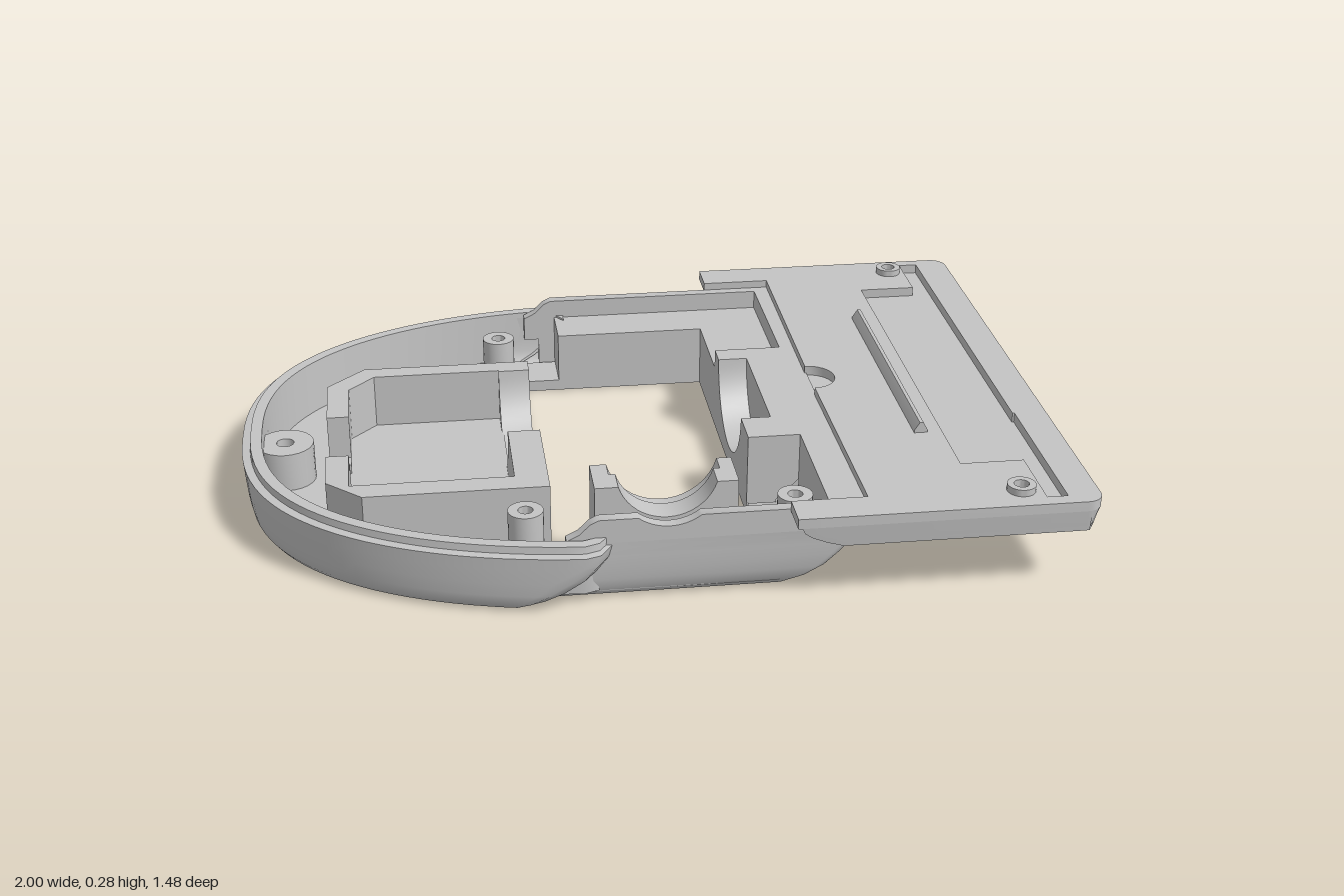
import * as THREE from 'three';
import { toCreasedNormals } from 'three/addons/utils/BufferGeometryUtils.js';

const grey = new THREE.MeshStandardMaterial({ color: 0xc4c4c4, side: THREE.DoubleSide });
grey.name = 'grey plastic';

export function createModel() {
  const model = new THREE.Group();

  const add = (name, geo) => {
    const mesh = new THREE.Mesh(toCreasedNormals(geo, 0.7), grey);
    mesh.name = name;
    model.add(mesh);
  };
  const arc = (cx, cy, r, a0, a1, n = 20) => Array.from({ length: n + 1 }, (_, i) => {
    const a = a0 + (a1 - a0) * i / n;
    return [cx + r * Math.cos(a), cy + r * Math.sin(a)];
  });
  const circle = (x, z, r) => arc(x, z, r, 0, Math.PI * 2, 24).slice(0, -1);
  const rect = (x0, x1, z0, z1) => [[x0, z0], [x1, z0], [x1, z1], [x0, z1]];
  const vectors = (pts, sx, sy) => pts.map(([a, b]) => new THREE.Vector2(a * sx, b * sy));

  // plan outline (x, z) raised from y0 to y1
  const planGeo = (pts, y0, y1, holes = [], steps = 1) => {
    const shape = new THREE.Shape(vectors(pts, 1, -1));
    holes.forEach(h => shape.holes.push(new THREE.Path(vectors(h, 1, -1))));
    return new THREE.ExtrudeGeometry(shape, { depth: y1 - y0, bevelEnabled: false, steps })
      .rotateX(-Math.PI / 2).translate(0, y0, 0);
  };
  const plan = (name, ...args) => add(name, planGeo(...args));
  // side profile (x, y) swept from z0 to z1
  const profile = (name, pts, z0, z1) => add(name, new THREE.ExtrudeGeometry(
    new THREE.Shape(vectors(pts, 1, 1)), { depth: z1 - z0, bevelEnabled: false }).translate(0, 0, z0));
  // end profile (z, y) swept from x0 to x1
  const endProfile = (name, pts, x0, x1) => add(name, new THREE.ExtrudeGeometry(
    new THREE.Shape(vectors(pts, -1, 1)), { depth: x1 - x0, bevelEnabled: false })
    .rotateY(Math.PI / 2).translate(x0, 0, 0));
  // skin through rows of equal length
  const skin = (name, rows) => {
    const n = rows[0].length, index = [];
    for (let r = 0; r < rows.length - 1; r++) for (let i = 0; i < n - 1; i++) {
      const a = r * n + i, b = a + 1, c = a + n, d = c + 1;
      index.push(a, b, c, b, d, c);
    }
    const geo = new THREE.BufferGeometry();
    geo.setAttribute('position', new THREE.Float32BufferAttribute(rows.flat(2), 3));
    geo.setIndex(index);
    geo.computeVertexNormals();
    add(name, geo);
  };

  // rounded bowl: inset d, shoulders sweep back towards the bottom (height y)
  const bowlOutline = (d, y) => {
    const s = -0.17 * Math.max(0, 1 - y / 0.15) ** 2;
    const t = Math.acos((0.1 - s) / (0.9 - d)), t0 = 1.2;
    const point = ([c, q]) => [-0.1 - (0.9 - d) * c, (0.71 - d) * Math.sign(q) * Math.abs(q) ** 0.8];
    const curve = [...arc(0, 0, 1, t, t0, 5), ...arc(0, 0, 1, t0, -t0, 48).slice(1), ...arc(0, 0, 1, -t0, -t, 5).slice(1)]
      .map(point);
    const z = curve[0][1] - 0.012;
    return [[-0.13 + s, 0.643 - d], [-0.165 + s, z], ...curve, [-0.165 + s, -z], [-0.13 + s, -0.643 + d]];
  };
  const at = (pts, y) => pts.map(([x, z]) => [x, y, z]);
  skin('bowlWall', [[0.038, 0], [0.024, 0.006], [0.014, 0.02], [0.009, 0.045], [0.005, 0.08], [0.002, 0.12], [0, 0.15]]
    .map(([d, y]) => at(bowlOutline(d, y), y)));
  skin('bowlRim', [[0, 0.15], [0.02, 0.152], [0.022, 0.17], [0.05, 0.17], [0.055, 0.025]]
    .map(([d, y]) => at(bowlOutline(d, 0.15), y)));

  // middle body with a curved end under the plate
  const bodyOutline = (d, xe) => {
    const z = 0.65 - d, r = 0.03;
    return [[-0.3, -z], ...arc(xe - r, -z + r, r, -Math.PI / 2, 0, 6),
      ...arc(xe - r, z - r, r, 0, Math.PI / 2, 6), [-0.3, z]];
  };
  skin('bodyWall', [[0.037, 0.25, 0], [0.024, 0.29, 0.008], [0.012, 0.335, 0.028], [0.005, 0.375, 0.055],
    [0.002, 0.41, 0.09], [0, 0.436, 0.12], [0, 0.46, 0.143], [0, 0.49, 0.156]]
    .map(([d, xe, y]) => at(bodyOutline(d, xe), y)));

  plan('floor', [...bowlOutline(0.038, 0), ...bodyOutline(0.037, 0.25)], 0, 0.03,
    [rect(-0.26, 0.245, -0.49, 0.487), rect(-0.44, -0.305, -0.335, -0.24), circle(-0.895, 0, 0.03)]);

  // blocks that stay inside the curved end
  const endCurve = [[0.25, 0.012], [0.29, 0.03], [0.355, 0.07], [0.395, 0.11], [0.42, 0.15], [0.46, 0.16]];
  const block = (name, z0, z1, x0, top, edge = []) => profile(name, [[x0, Math.max(0.012, (x0 - 0.26) * 0.6)],
    ...endCurve.filter(([x]) => x > x0), [0.46, top], ...edge, [x0, top]], z0, z1);
  block('backShelf', -0.625, -0.49, -0.155, 0.165);
  block('backCornerShelf', -0.49, -0.235, 0.245, 0.165);
  block('middleBlock', -0.235, 0.28, 0.32, 0.215);
  block('frontCornerBlock', 0.28, 0.62, 0.375, 0.215);
  plan('shelfEdge', rect(0.42, 0.46, -0.64, -0.235), 0.15, 0.215);

  // raised side walls, the front one dipped for the shaft
  const dip = (cy, r, top) => {
    const a = Math.asin((cy - top) / r);
    return arc(0, cy, r, -a, -Math.PI + a);
  };
  const shoulder = [[-0.165, 0.215], [-0.185, 0.205], [-0.21, 0.18], [-0.24, 0.165]];
  const sideWall = (name, inner, outer, edge) => {
    // upper part reaches the outside, lower part stays behind the rounded skin
    const mid = (inner + outer) / 2, [a, b] = [inner, outer].sort((p, q) => p - q);
    profile(name, [[-0.24, 0.1], [0.39, 0.1], [0.42, 0.145], [0.46, 0.157], [0.46, 0.215], ...edge, ...shoulder], a, b);
    const [c, d] = [inner, mid].sort((p, q) => p - q);
    profile(name, [[-0.2, 0.02], [0.26, 0.02], [0.34, 0.07], [0.37, 0.11], [-0.2, 0.11]], c, d);
  };
  sideWall('backWall', -0.62, -0.648, []);
  sideWall('frontWall', 0.62, 0.648, dip(0.31, 0.12, 0.215));

  // front shaft saddle in two steps
  [[0.49, 0.54, 0.135], [0.54, 0.605, 0.12]].forEach(([z0, z1, r]) => profile('frontSaddle',
    [[-0.17, 0.02], [0.165, 0.02], [0.165, 0.275], ...dip(0.31, r, 0.275), [-0.17, 0.275]], z0, z1));

  // round cradles on both sides of the opening
  const cradle = (z0, z1, x0, x1) => endProfile('cradle',
    [[z0, 0.028], [z1, 0.028], [z1, 0.215], ...dip(0.225, 0.175, 0.215), [z0, 0.215]], x0, x1);
  cradle(-0.23, 0.47, -0.34, -0.26);
  cradle(-0.235, 0.28, 0.245, 0.32);

  // compartment inside the bowl
  plan('compartmentBackWall', [[-0.335, -0.23], [-0.69, -0.23], [-0.785, -0.135], [-0.785, 0.045], [-0.73, 0.045],
    [-0.73, -0.11], [-0.665, -0.18], [-0.335, -0.18]], 0.02, 0.215);
  plan('compartmentFrontWall', [[-0.335, 0.47], [-0.7, 0.47], [-0.785, 0.39], [-0.785, 0.255], [-0.73, 0.255],
    [-0.73, 0.41], [-0.335, 0.41]], 0.02, 0.215);
  plan('compartmentFloor', [[-0.335, -0.2], [-0.68, -0.2], [-0.75, -0.12], [-0.75, 0.43], [-0.335, 0.43]], 0.02, 0.075);
  plan('compartmentTab', rect(-0.785, -0.73, 0.215, 0.256), 0.02, 0.17);
  plan('compartmentTab', rect(-0.785, -0.73, 0.044, 0.085), 0.02, 0.1);

  // hollow screw posts
  const post = (x, z, r, hole, y0, y1) => plan('screwPost', circle(x, z, r), y0, y1, [circle(x, z, hole)]);
  post(-0.325, -0.42, 0.042, 0.018, 0.02, 0.2);
  post(-0.325, 0.55, 0.042, 0.018, 0.02, 0.2);
  post(0.31, 0.55, 0.042, 0.018, 0.04, 0.2);
  post(-0.895, 0, 0.072, 0.022, 0.02, 0.13);

  // end plate: lower slab with tapered sides and a shallow underside panel, upper slab with a pocket
  const wings = [[0.28, -0.74], ...arc(0.96, -0.7, 0.04, -Math.PI / 2, 0, 6),
    ...arc(0.96, 0.695, 0.04, 0, Math.PI / 2, 6), [0.28, 0.735], [0.28, 0.647], [0.46, 0.647]];
  const wingEnd = [[0.46, -0.647], [0.28, -0.647]];
  const screwHoles = r => [circle(0.82, -0.665, r), circle(0.82, 0.66, r)];
  const pocket = [[0.715, -0.545], [0.865, -0.545], [0.865, -0.71], [0.915, -0.71], [0.915, 0.27],
    [0.92, 0.27], [0.92, 0.7], [0.87, 0.7], [0.87, 0.515], [0.715, 0.515]];
  const lowerSlab = (name, y0, y1, holes, steps) => {
    const geo = planGeo([...wings, ...wingEnd], y0, y1, holes, steps);
    const p = geo.attributes.position;
    for (let i = 0; i < p.count; i++) {
      const x = p.getX(i), z = p.getZ(i), t = (0.21 - p.getY(i)) / 0.055;
      if (x < 0.3) p.setX(i, x + 0.01 + 0.1 * t * t);
      if (x > 0.975) p.setX(i, x - 0.015 * t);
      if (Math.abs(z) > 0.71) p.setZ(i, z * (1 - 0.01 * t));
    }
    add(name, geo);
  };
  lowerSlab('plateRim', 0.155, 0.167, [rect(0.492, 0.965, -0.705, 0.7)], 1);
  lowerSlab('plateLower', 0.167, 0.21, screwHoles(0.024), 3);
  plan('plateUpper', [...wings, ...arc(0.455, 0, 0.065, Math.PI / 2, -Math.PI / 2, 12), ...wingEnd],
    0.21, 0.235, [pocket, ...screwHoles(0.018)]);
  [-0.665, 0.66].forEach(z => post(0.82, z, 0.034, 0.018, 0.23, 0.252));
  profile('plateRidge', [[0.645, 0.23], [0.678, 0.23], [0.678, 0.242], [0.667, 0.262], [0.658, 0.262],
    [0.645, 0.242]], -0.35, 0.345);

  return model;
}
